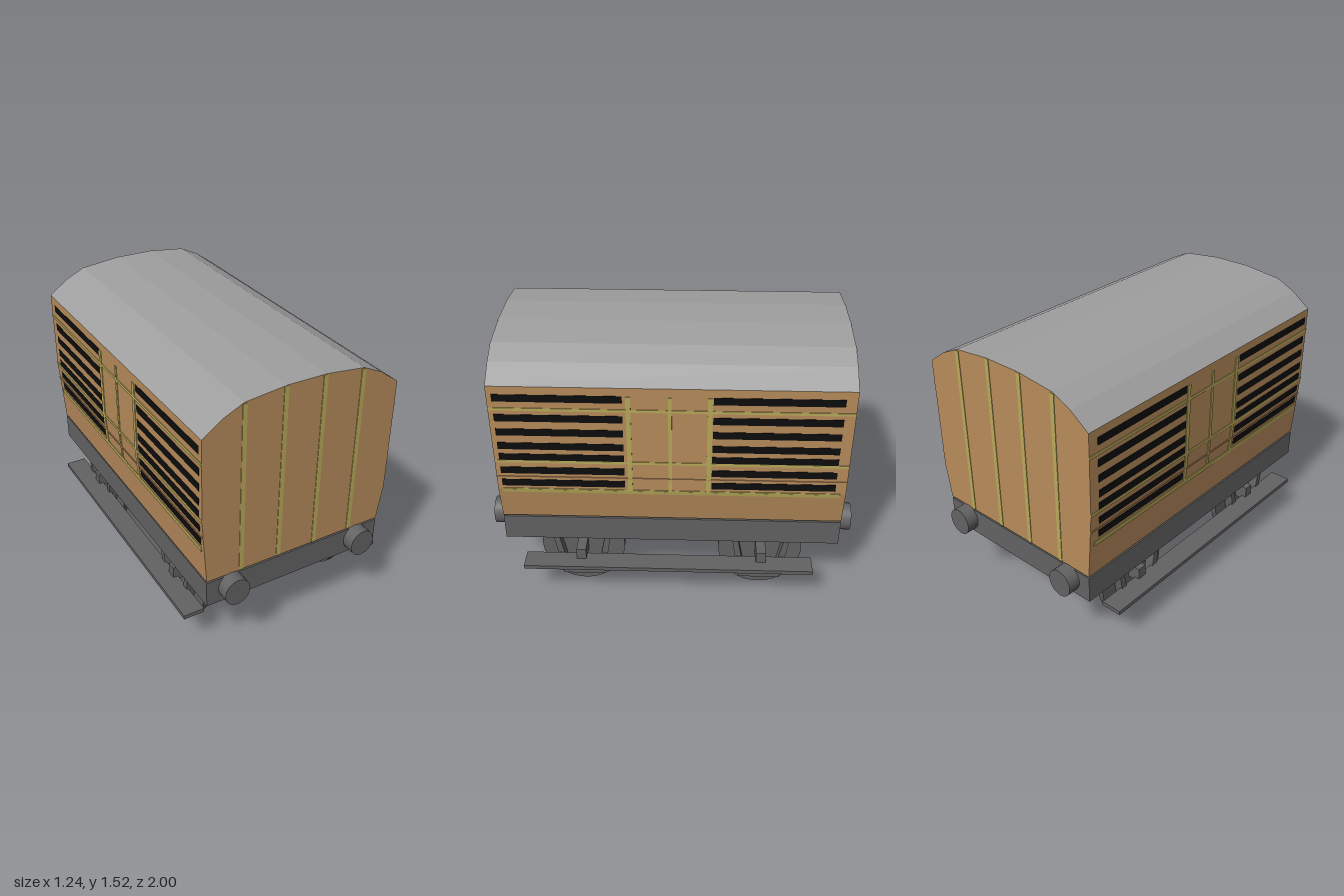
import * as THREE from 'three';

const mat = (name, color) => {
  const m = new THREE.MeshStandardMaterial({ color });
  m.name = name;
  return m;
};

export function createModel() {
  const model = new THREE.Group();
  model.name = 'railwayVan';
  const wood = mat('tan wood', 0xb88c5c);
  const trim = mat('olive trim', 0xb8aa5a);
  const roofGrey = mat('roof grey', 0x9f9f9f);
  const iron = mat('dark iron grey', 0x636363);
  const black = mat('slot black', 0x0d0d0d);

  const add = (name, geo, material, x = 0, y = 0, z = 0) => {
    const mesh = new THREE.Mesh(geo, material);
    mesh.name = name;
    mesh.position.set(x, y, z);
    model.add(mesh);
    return mesh;
  };
  // box given by its limits on each axis
  const block = (name, material, x0, x1, y0, y1, z0, z1) =>
    add(name, new THREE.BoxGeometry(x1 - x0, y1 - y0, z1 - z0), material,
      (x0 + x1) / 2, (y0 + y1) / 2, (z0 + z1) / 2);
  const extrude = (points, depth) => new THREE.ExtrudeGeometry(
    new THREE.Shape(points.map(([x, y]) => new THREE.Vector2(x, y))),
    { depth, bevelEnabled: false });

  // Body with tucked-in lower sides, and faceted roof with wooden ends
  const L = 0.93;
  const sides = {
    1: { wall: 0.54, bend: 0.73, foot: 0.51 },
    '-1': { wall: -0.57, bend: 0.9, foot: -0.545 },
  };
  add('body', extrude([[-0.545, 0.525], [0.51, 0.525], [0.54, 0.73], [0.54, 1.365],
    [-0.57, 1.365], [-0.57, 0.9]], 2 * L), wood, 0, 0, -L);
  add('roof', extrude([[-0.57, 1.365], [0.54, 1.365], [0.43, 1.445], [0.32, 1.497],
    [0.1, 1.522], [-0.125, 1.522], [-0.35, 1.497], [-0.46, 1.445]], 2 * L),
  [wood, roofGrey], 0, 0, -L);

  // Upright strips on both ends
  for (const end of [1, -1]) {
    for (const [x, top] of [[-0.347, 1.49], [-0.125, 1.52], [0.095, 1.52], [0.32, 1.49]]) {
      add('endStrip', new THREE.BoxGeometry(0.025, top - 0.526, 0.006), trim,
        x, (top + 0.526) / 2, end * L);
    }
  }

  // Thin plate that follows the side wall, split where the wall bends
  const sidePlate = (name, material, s, y0, y1, z0, z1, out) => {
    const { wall, bend, foot } = sides[s];
    const wallX = y => (y >= bend ? wall : foot + (wall - foot) * (y - 0.525) / (bend - 0.525));
    const ys = y0 < bend && y1 > bend ? [y0, bend, y1] : [y0, y1];
    for (let i = 0; i + 1 < ys.length; i++) {
      const dx = wallX(ys[i + 1]) - wallX(ys[i]);
      const dy = ys[i + 1] - ys[i];
      const geo = new THREE.BoxGeometry(2 * out, Math.hypot(dx, dy), z1 - z0);
      const plate = add(name, geo, material,
        (wallX(ys[i]) + wallX(ys[i + 1])) / 2, (ys[i] + ys[i + 1]) / 2, (z0 + z1) / 2);
      plate.rotation.z = -Math.atan2(dx, dy);
    }
  };

  for (const s of [1, -1]) {
    // Ventilation slots
    for (const y of [1.298, 1.18, 1.094, 1.008, 0.938, 0.853, 0.772]) {
      sidePlate('ventSlot', black, s, y - 0.021, y + 0.021, 0.246, 0.904, 0.002);
      sidePlate('ventSlot', black, s, y - 0.021, y + 0.021, -0.872, -0.214, 0.002);
    }
    // Door posts and horizontal rails
    for (const [z, w] of [[0.217, 0.025], [0.005, 0.018], [-0.198, 0.025]]) {
      sidePlate('doorPost', trim, s, 0.735, 1.315, z - w / 2, z + w / 2, 0.004);
    }
    sidePlate('upperRail', trim, s, 1.225, 1.241, -L, L, 0.0035);
    sidePlate('middleRail', trim, s, 0.903, 0.919, -L, L, 0.0035);
    sidePlate('plankSeam', wood, s, 0.806, 0.814, -L, L, 0.0045);
    sidePlate('lowerRail', trim, s, 0.708, 0.735, -0.9, 0.904, 0.0035);
  }

  // Chassis
  block('chassis', iron, -0.545, 0.51, 0.365, 0.515, -L, L);

  // Buffers
  for (const end of [1, -1]) {
    for (const x of [-0.405, 0.373]) {
      const buffer = add('buffer', new THREE.CylinderGeometry(0.072, 0.072, 0.08, 32)
        .rotateX(Math.PI / 2), iron, x, 0.452, end * 0.96);
      buffer.scale.y = 1.07;
    }
  }

  // Running gear: axles, wheels, hangers and axle boxes
  const hanger = [[-0.166, 0.38], [-0.118, 0.078], [0.118, 0.078], [0.166, 0.38],
    [0.134, 0.38], [0.09, 0.15], [-0.09, 0.15], [-0.134, 0.38]];
  for (const z of [0.508, -0.503]) {
    add('axle', new THREE.CylinderGeometry(0.027, 0.027, 0.7, 20).rotateZ(Math.PI / 2),
      iron, -0.01, 0.268, z);
    for (const s of [1, -1]) {
      const wheel = add('wheel', new THREE.CylinderGeometry(0.237, 0.237, 0.032, 48)
        .rotateZ(Math.PI / 2), iron, s > 0 ? 0.415 : -0.44, 0.2625, z);
      wheel.scale.y = 0.2625 / 0.237;
      add('hanger', extrude(hanger, 0.052).rotateY(Math.PI / 2), iron,
        s > 0 ? 0.43 : -0.513, 0, z);
      const [x0, x1] = s > 0 ? [0.385, 0.546] : [-0.53, -0.41];
      block('axleBox', iron, x0, x1, 0.225, 0.31, z - 0.027, z + 0.027);
    }
  }

  // Footboards
  block('footboard', iron, 0.497, 0.615, 0.222, 0.245, -0.79, 0.825);
  block('footboard', iron, -0.62, -0.502, 0.222, 0.245, -0.79, 0.825);

  return model;
}
